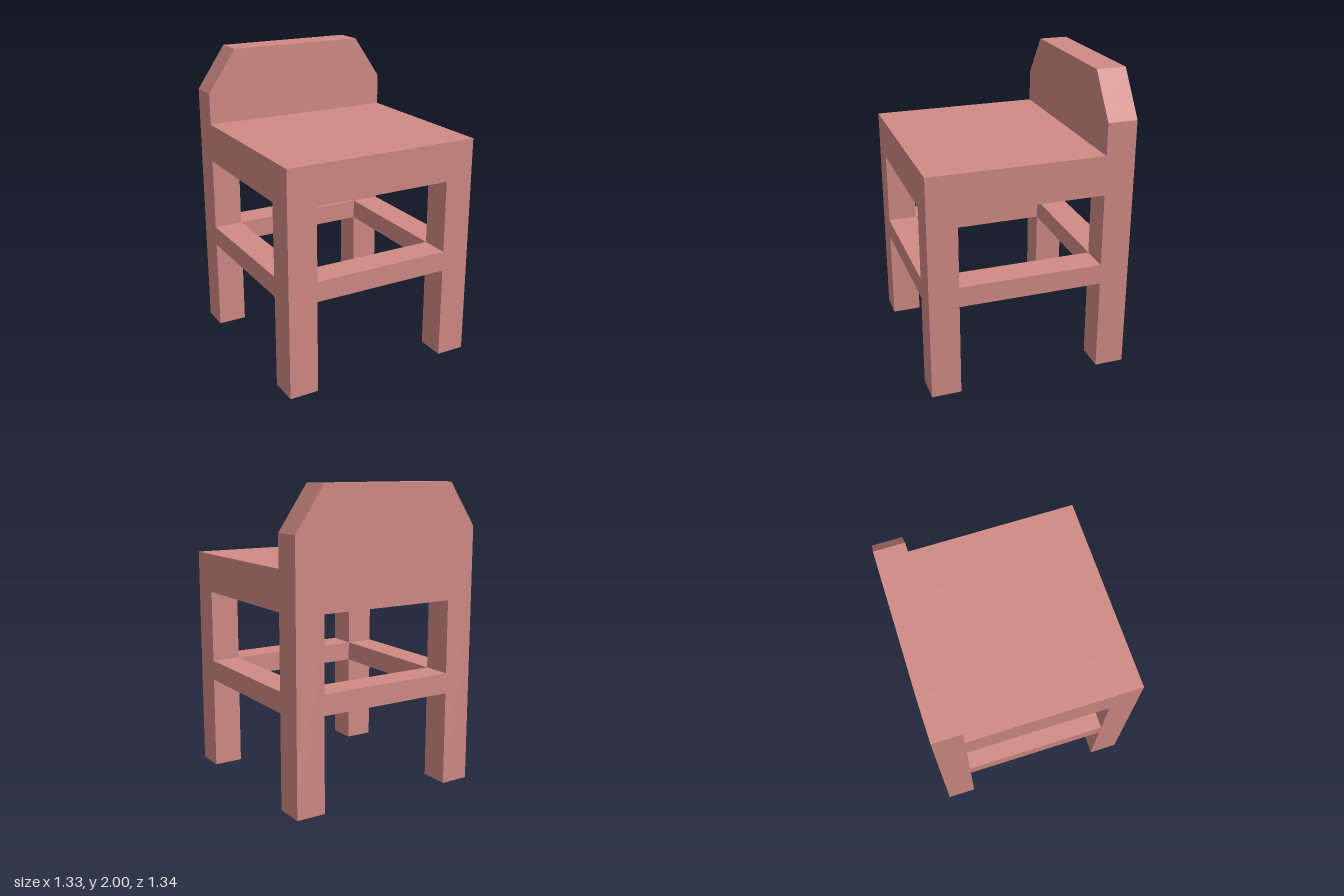
import * as THREE from 'three';

export function createModel() {
  const model = new THREE.Group();
  model.name = 'chair';
  const material = new THREE.MeshStandardMaterial({ color: 0xd08a84, flatShading: true });

  const W = 0.665;      // half width
  const D = 0.67;       // half depth
  const T = 0.195;      // thickness of legs, rails and backrest
  const seatBottom = 1.245, seatTop = 1.505;
  const railBottom = 0.625, railTop = 0.76;

  function add(name, geometry, x, y, z) {
    const mesh = new THREE.Mesh(geometry, material);
    mesh.name = name;
    mesh.position.set(x, y, z);
    model.add(mesh);
  }
  const box = (name, w, h, d, x, y, z) => add(name, new THREE.BoxGeometry(w, h, d), x, y, z);

  // Thick seat slab
  box('seat', 2 * W, seatTop - seatBottom, 2 * D, 0, (seatTop + seatBottom) / 2, 0);

  // Four legs, flush with the seat's corners
  for (const [sx, side] of [[1, 'Left'], [-1, 'Right']]) {
    for (const [sz, end] of [[1, 'front'], [-1, 'back']]) {
      box(`${end}${side}Leg`, T, seatBottom, T, sx * (W - T / 2), seatBottom / 2, sz * (D - T / 2));
    }
  }

  // Rails joining the legs on all four sides
  const railH = railTop - railBottom, railY = (railTop + railBottom) / 2;
  for (const s of [1, -1]) {
    box(s > 0 ? 'frontRail' : 'backRail', 2 * (W - T), railH, T, 0, railY, s * (D - T / 2));
    box(s > 0 ? 'leftRail' : 'rightRail', T, railH, 2 * (D - T), s * (W - T / 2), railY, 0);
  }

  // Backrest panel with cut-off upper corners
  const top = 2 - seatTop, shoulder = 1.715 - seatTop, topHalf = 0.47;
  const outline = new THREE.Shape([
    [-W, 0], [W, 0], [W, shoulder], [topHalf, top], [-topHalf, top], [-W, shoulder],
  ].map(([x, y]) => new THREE.Vector2(x, y)));
  add('backrest', new THREE.ExtrudeGeometry(outline, { depth: T, bevelEnabled: false }), 0, seatTop, -D);

  return model;
}
